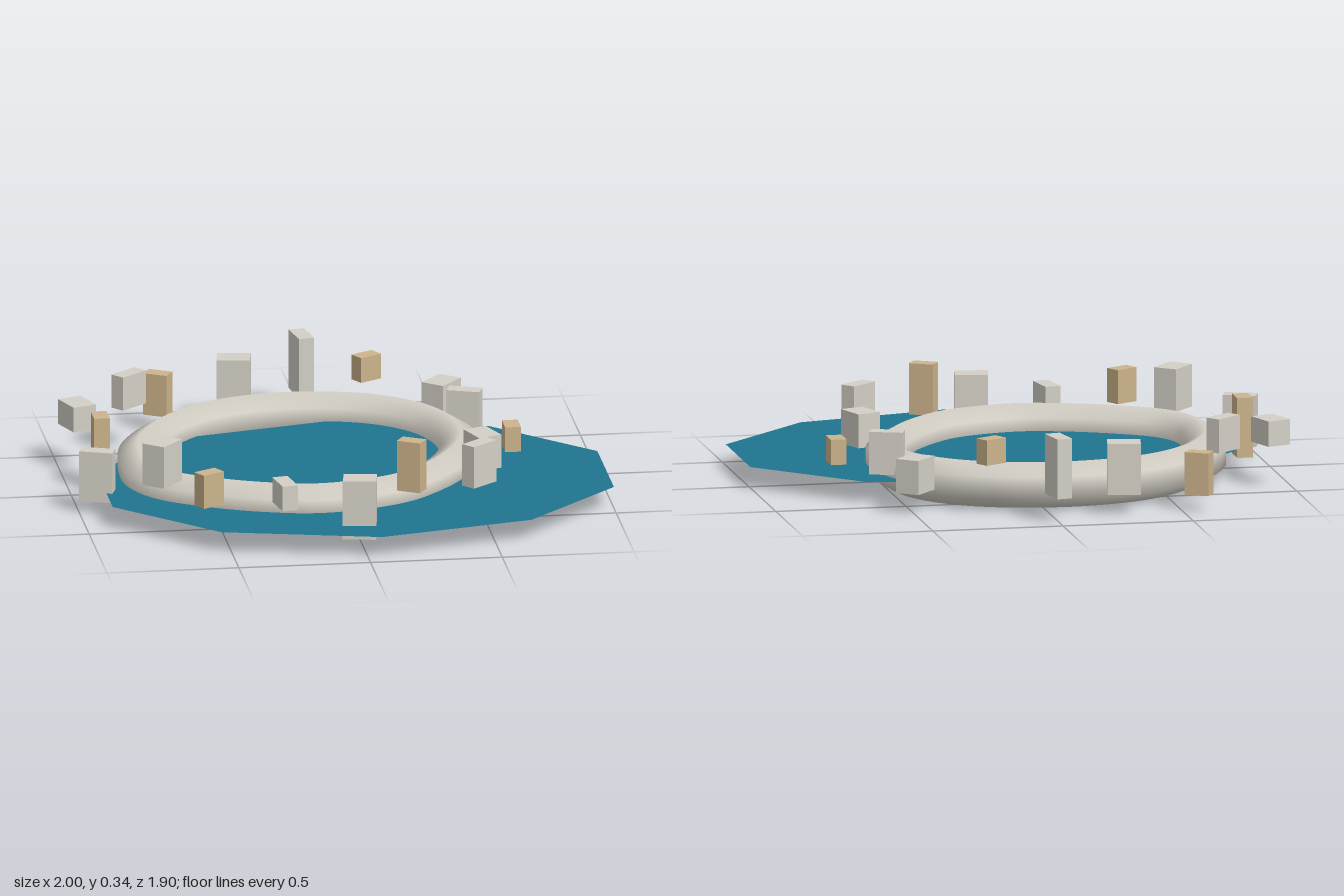
import * as THREE from 'three';

const stone = new THREE.MeshStandardMaterial({ color: 0xd4d0c6 });
const sand = new THREE.MeshStandardMaterial({ color: 0xcdb48c });
const waterBlue = new THREE.MeshStandardMaterial({ color: 0x1f7590, side: THREE.DoubleSide });

function add(group, name, geometry, material, x = 0, y = 0, z = 0) {
  const mesh = new THREE.Mesh(geometry, material);
  mesh.name = name;
  mesh.position.set(x, y, z);
  group.add(mesh);
  return mesh;
}

export function createModel() {
  const model = new THREE.Group();
  model.name = 'ringIsland';

  // Water: a flat ten-sided disc, narrower from front to back
  const disc = new THREE.CircleGeometry(1, 10, Math.PI / 2);
  disc.rotateX(-Math.PI / 2);
  disc.scale(1, 1, 0.745);
  add(model, 'water', disc, waterBlue, 0.05, 0.081, 0.2);

  // Reef ring: six-sided tube along an uneven closed loop (x, z)
  const loop = [
    [0.488, -0.12], [0.468, 0.03], [0.404, 0.18], [0.297, 0.33], [0.15, 0.46],
    [-0.12, 0.535], [-0.32, 0.497], [-0.53, 0.4], [-0.67, 0.295], [-0.735, 0.17],
    [-0.746, 0.03], [-0.715, -0.17], [-0.58, -0.41], [-0.4, -0.56], [-0.14, -0.631],
    [0.13, -0.6], [0.3, -0.515], [0.415, -0.39], [0.468, -0.265],
  ].map(([x, z]) => new THREE.Vector3(x, 0, z));
  const path = new THREE.CatmullRomCurve3(loop, true);
  add(model, 'reefRing', new THREE.TubeGeometry(path, 120, 0.0875, 6, true), stone, 0, 0.0875, 0);

  // Blocks: eighteen around the ring in three footprints, stepping in height and level
  const footprints = [[0.06, 0.095], [0.095, 0.126], [0.127, 0.06]];
  for (let i = 0; i < 18; i++) {
    const angle = (i / 18) * Math.PI * 2;
    const radius = i % 2 ? 0.73 : 0.83;
    const [w, d] = footprints[i % 3];
    const h = 0.097 + 0.033 * (i % 5);
    const block = add(model, i % 3 ? 'stoneBlock' : 'sandBlock', new THREE.BoxGeometry(w, h, d),
      i % 3 ? stone : sand,
      -0.15 + radius * Math.cos(angle), 0.142 + 0.033 * (i % 4), -0.07 + radius * Math.sin(angle));
    block.rotation.y = angle;
  }
  return model;
}
